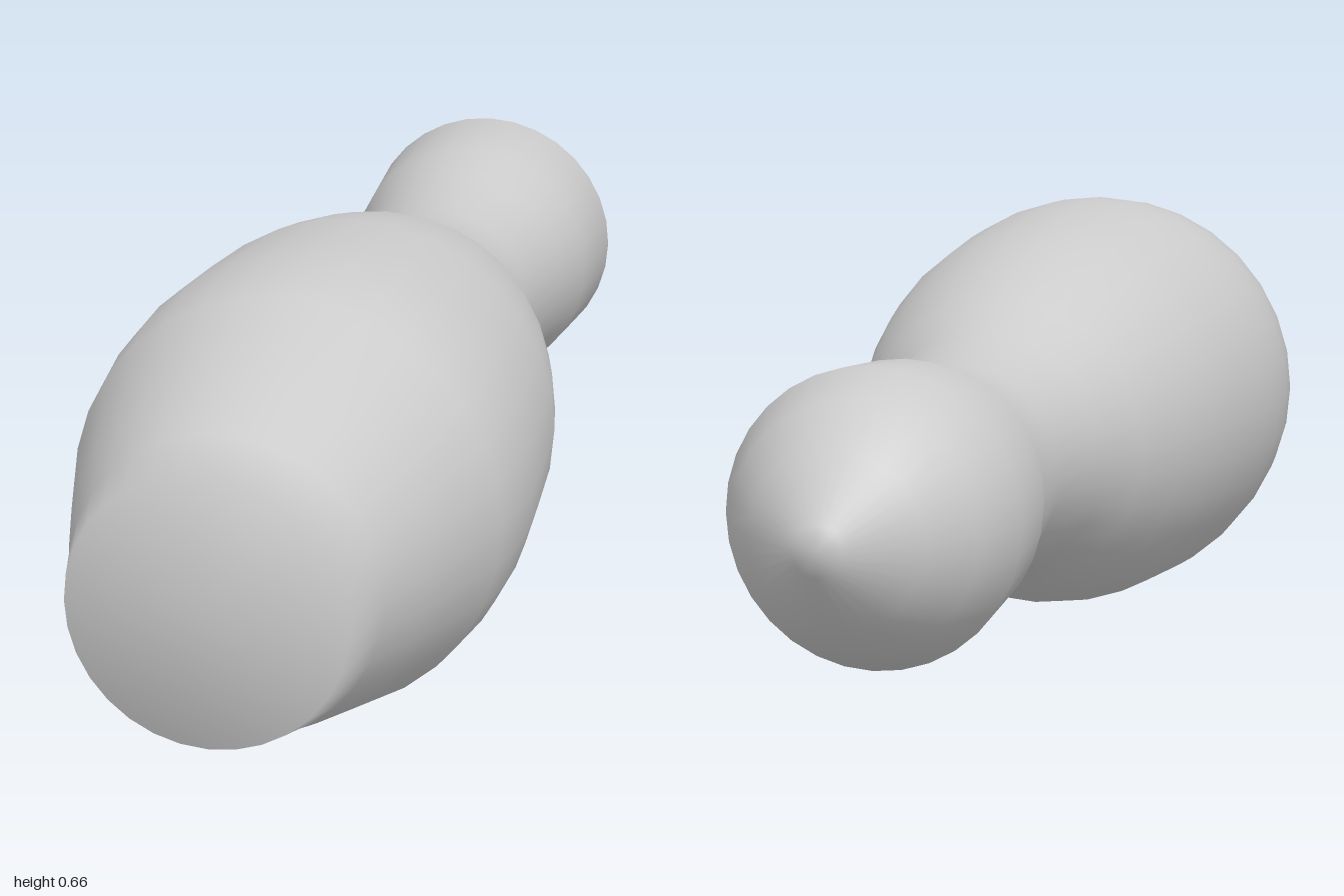
import * as THREE from 'three';

// Profile as [distance along the axis, radius], from head tip to flat foot
const PROFILE = [
  [-1, 0], [-1, 0.036], [-0.92, 0.127], [-0.84, 0.18], [-0.76, 0.215],
  [-0.6, 0.203], [-0.52, 0.183], [-0.36, 0.162], [-0.2, 0.187],
  [-0.11, 0.227], [0, 0.267], [0.1, 0.293], [0.2, 0.312], [0.35, 0.325],
  [0.44, 0.33], [0.52, 0.327], [0.6, 0.317], [0.8, 0.258], [0.91, 0.222],
  [1, 0.198], [1, 0],
];

export function createModel() {
  const group = new THREE.Group();
  group.name = 'bowlingPin';

  // One smooth turned body lying on its side, foot towards the front
  const points = PROFILE.map(([along, radius]) => new THREE.Vector2(radius, along));
  const geometry = new THREE.LatheGeometry(points, 32);
  geometry.rotateX(Math.PI / 2);

  const pin = new THREE.Mesh(geometry, new THREE.MeshStandardMaterial({ color: 0xcccccc }));
  pin.name = 'pinBody';
  pin.position.y = 0.332;
  group.add(pin);
  return group;
}
